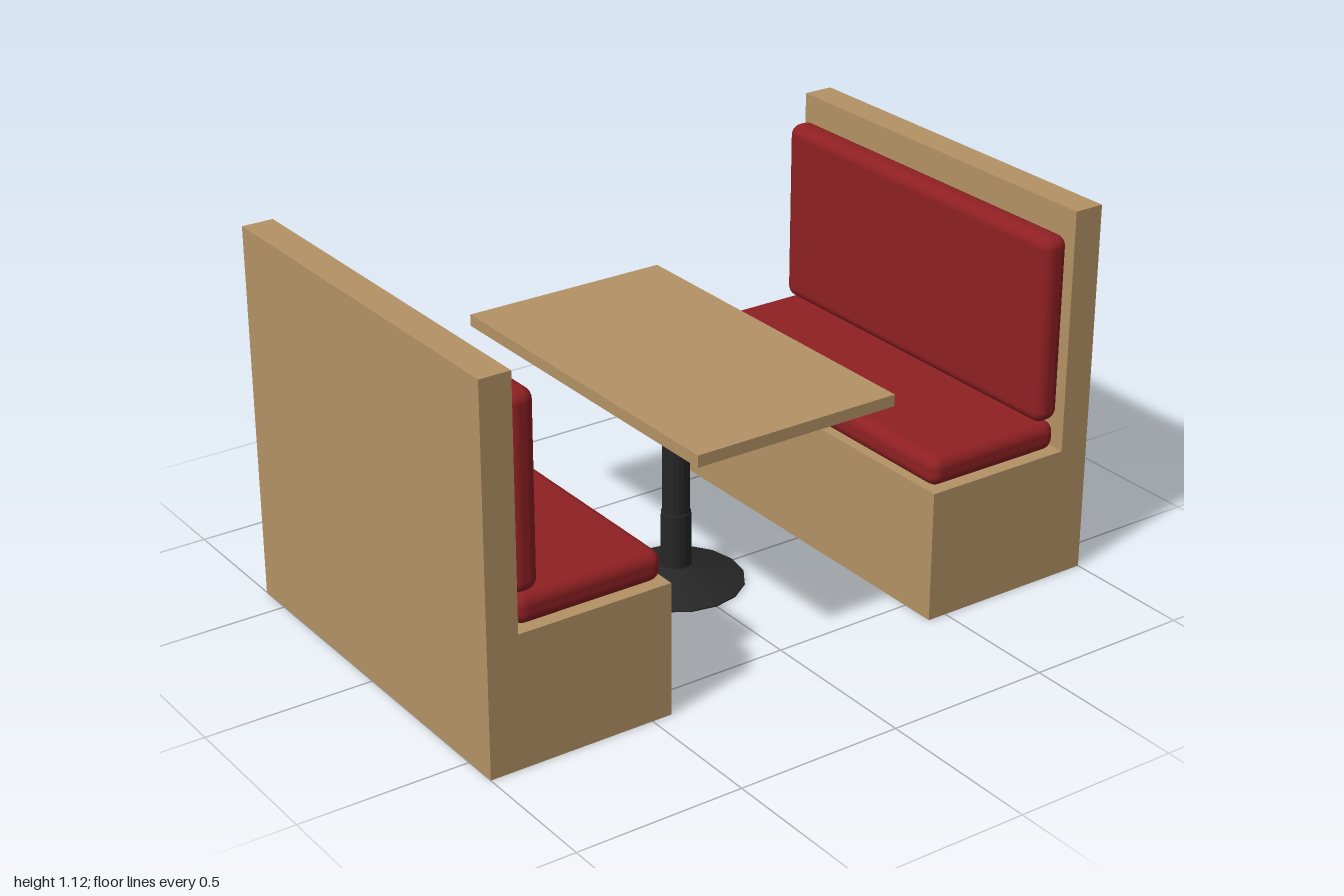
import * as THREE from 'three';
import { RoundedBoxGeometry } from 'three/addons/geometries/RoundedBoxGeometry.js';

const mat = (name, color, extra = {}) => {
  const m = new THREE.MeshStandardMaterial({ color, ...extra });
  m.name = name;
  return m;
};

function addMesh(parent, name, geometry, material, x = 0, y = 0, z = 0) {
  const mesh = new THREE.Mesh(geometry, material);
  mesh.name = name;
  mesh.position.set(x, y, z);
  parent.add(mesh);
  return mesh;
}

export function createModel() {
  const wood = mat('wood', 0xb39265);
  const leather = mat('red upholstery', 0x8f2023);
  const iron = mat('black iron', 0x262626, { flatShading: true });

  const model = new THREE.Group();
  model.name = 'diningBooth';

  // L-shaped bench body: profile in (z, y), extruded along x
  const width = 1.21;
  const profile = new THREE.Shape([
    [0.44, 0], [1, 0], [1, 1.12], [0.907, 1.12], [0.907, 0.395], [0.44, 0.395],
  ].map(([z, y]) => new THREE.Vector2(z, y)));
  const bodyGeo = new THREE.ExtrudeGeometry(profile, { depth: width, bevelEnabled: false });
  bodyGeo.translate(0, 0, -width / 2).rotateY(-Math.PI / 2);

  // Cushions
  const seatGeo = new RoundedBoxGeometry(1.174, 0.09, 0.45, 4, 0.035);
  const backGeo = new RoundedBoxGeometry(1.174, 0.56, 0.084, 4, 0.035);

  // Two benches facing each other
  [['frontBench', 0], ['rearBench', Math.PI]].forEach(([name, turn]) => {
    const bench = new THREE.Group();
    bench.name = name;
    addMesh(bench, 'benchBody', bodyGeo, wood);
    addMesh(bench, 'seatCushion', seatGeo, leather, 0, 0.44, 0.674);
    addMesh(bench, 'backCushion', backGeo, leather, 0, 0.766, 0.866);
    bench.rotation.y = turn;
    model.add(bench);
  });

  // Table with a stepped pedestal
  const table = new THREE.Group();
  table.name = 'table';
  addMesh(table, 'tableTop', new THREE.BoxGeometry(1.12, 0.035, 0.65), wood, 0, 0.693, 0);
  const pedestal = [
    [0, 0], [0.2, 0], [0.2, 0.004], [0.045, 0.055], [0.044, 0.22], [0.041, 0.225],
    [0.039, 0.565], [0.036, 0.57], [0.036, 0.655], [0.095, 0.675], [0, 0.675],
  ].map(([r, y]) => new THREE.Vector2(r, y));
  addMesh(table, 'pedestal', new THREE.LatheGeometry(pedestal, 16), iron);
  model.add(table);

  return model;
}
